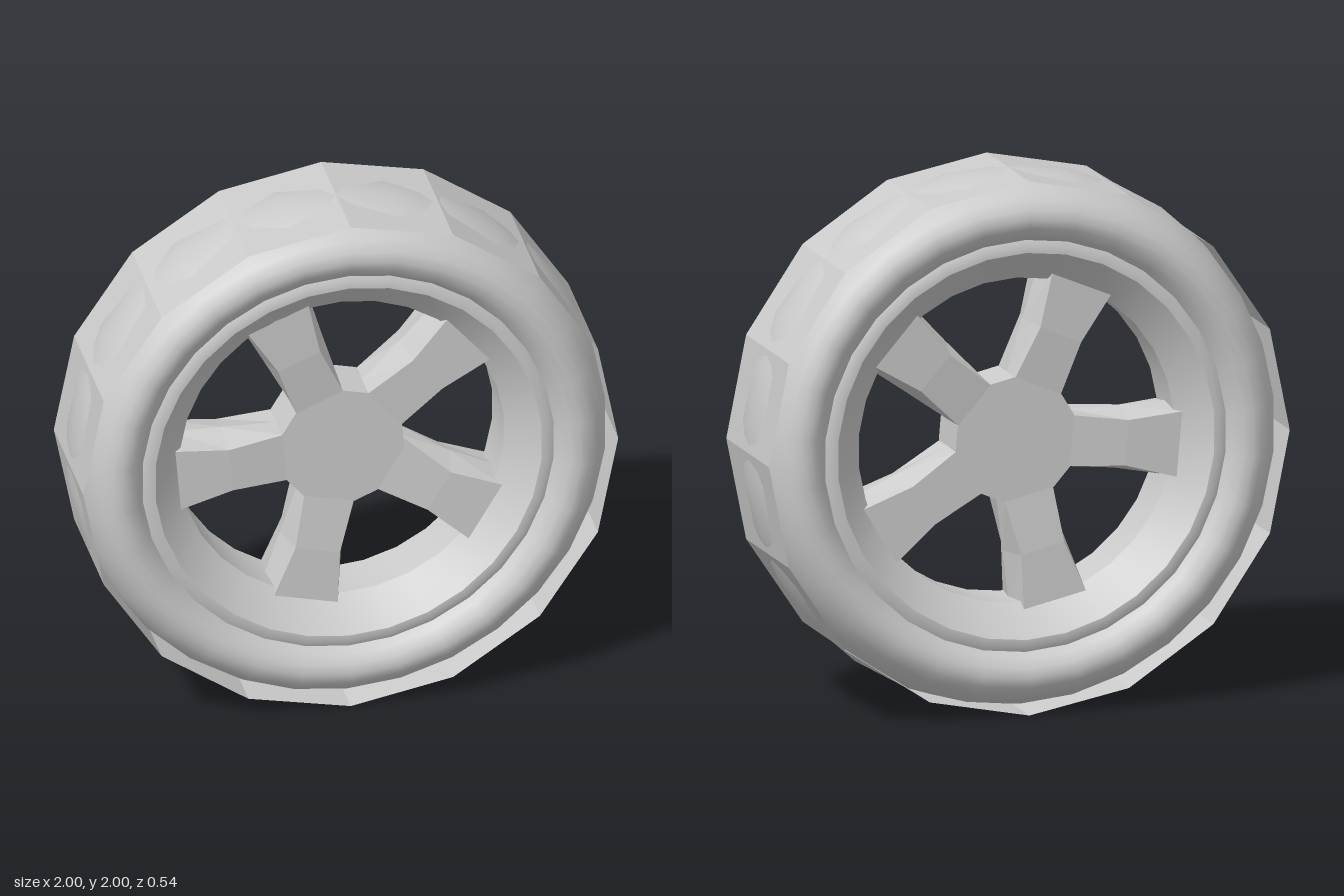
import * as THREE from 'three';
import { toCreasedNormals } from 'three/addons/utils/BufferGeometryUtils.js';

const smooth = new THREE.MeshStandardMaterial({ color: 0xcccccc, side: THREE.DoubleSide });
const flat = new THREE.MeshStandardMaterial({ color: 0xcccccc, side: THREE.DoubleSide, flatShading: true });

function add(parent, name, geometry, material) {
  const mesh = new THREE.Mesh(geometry, material);
  mesh.name = name;
  parent.add(mesh);
  return mesh;
}

// Spoke along +x: hexagonal sections with a ridge down the middle of each side
function spokeGeometry() {
  // distance from axle, half width of face, half width of ridge, half depth
  const stations = [
    [0.214, 0.095, 0.097, 0.1],
    [0.42, 0.085, 0.118, 0.12],
    [0.62, 0.122, 0.14, 0.125],
  ];
  const positions = [];
  const index = [];
  for (const [r, face, ridge, depth] of stations) {
    const section = [[face, depth], [ridge, 0], [face, -depth], [-face, -depth], [-ridge, 0], [-face, depth]];
    for (const [y, z] of section) positions.push(r, y, z);
  }
  for (let s = 0; s < stations.length - 1; s++) {
    for (let i = 0; i < 6; i++) {
      const a = s * 6 + i;
      const b = s * 6 + ((i + 1) % 6);
      index.push(a, a + 6, b, b, a + 6, b + 6);
    }
  }
  const geometry = new THREE.BufferGeometry();
  geometry.setAttribute('position', new THREE.Float32BufferAttribute(positions, 3));
  geometry.setIndex(index);
  // wind the faces outward
  const ix = geometry.index.array;
  for (let i = 0; i < ix.length; i += 3) [ix[i + 1], ix[i + 2]] = [ix[i + 2], ix[i + 1]];
  const n = facing(geometry);
  if (n < 0) for (let i = 0; i < ix.length; i += 3) [ix[i + 1], ix[i + 2]] = [ix[i + 2], ix[i + 1]];
  geometry.computeVertexNormals();
  return geometry;
}

// Sign of the first face's normal relative to the spoke's centre line
function facing(geometry) {
  const p = geometry.attributes.position;
  const [a, b, c] = [0, 1, 2].map((k) => new THREE.Vector3().fromBufferAttribute(p, geometry.index.getX(k)));
  const normal = b.clone().sub(a).cross(c.sub(a));
  return normal.y * a.y + normal.z * a.z;
}

export function createModel() {
  const wheel = new THREE.Group();
  wheel.name = 'wheel';
  const body = new THREE.Group();
  body.name = 'wheelBody';
  body.position.y = 1;
  wheel.add(body);

  // Tyre: torus stretched across its width
  const tyre = new THREE.TorusGeometry(0.86, 0.14, 24, 30);
  tyre.rotateZ(Math.PI / 2);
  tyre.scale(1, 1, 0.27 / 0.14);
  add(body, 'tyre', tyre, smooth);

  // Tread: open faceted band the tyre bulges through
  const tread = new THREE.CylinderGeometry(1, 1, 0.505, 16, 1, true);
  tread.rotateX(Math.PI / 2);
  add(body, 'treadBand', tread, flat);

  // Rim: lips at both sides, tapering in to a waist
  const half = [[0.775, 0.205], [0.75, 0.217], [0.725, 0.217], [0.608, 0.1]];
  const profile = [...half, ...half.map(([r, z]) => [r, -z]).reverse()];
  const rim = new THREE.LatheGeometry(profile.map(([r, z]) => new THREE.Vector2(r, z)), 30);
  rim.rotateX(Math.PI / 2);
  add(body, 'rim', toCreasedNormals(rim, 0.5), smooth);

  // Hub: ten-sided block with a corner at each spoke root
  const centre = (k) => THREE.MathUtils.degToRad(41 + 72 * k);
  const halfRoot = THREE.MathUtils.degToRad(24.4);
  const outline = new THREE.Shape();
  for (let k = 0; k < 5; k++) {
    for (const side of [-1, 1]) {
      const a = centre(k) + side * halfRoot;
      const x = 0.235 * Math.cos(a);
      const y = 0.235 * Math.sin(a);
      if (k === 0 && side === -1) outline.moveTo(x, y);
      else outline.lineTo(x, y);
    }
  }
  outline.closePath();
  const hub = new THREE.ExtrudeGeometry(outline, { depth: 0.2, bevelEnabled: false });
  hub.translate(0, 0, -0.1);
  add(body, 'hub', hub, flat);

  // Five spokes
  const spoke = spokeGeometry();
  for (let k = 0; k < 5; k++) {
    add(body, `spoke${k + 1}`, spoke, flat).rotation.z = centre(k);
  }
  return wheel;
}
